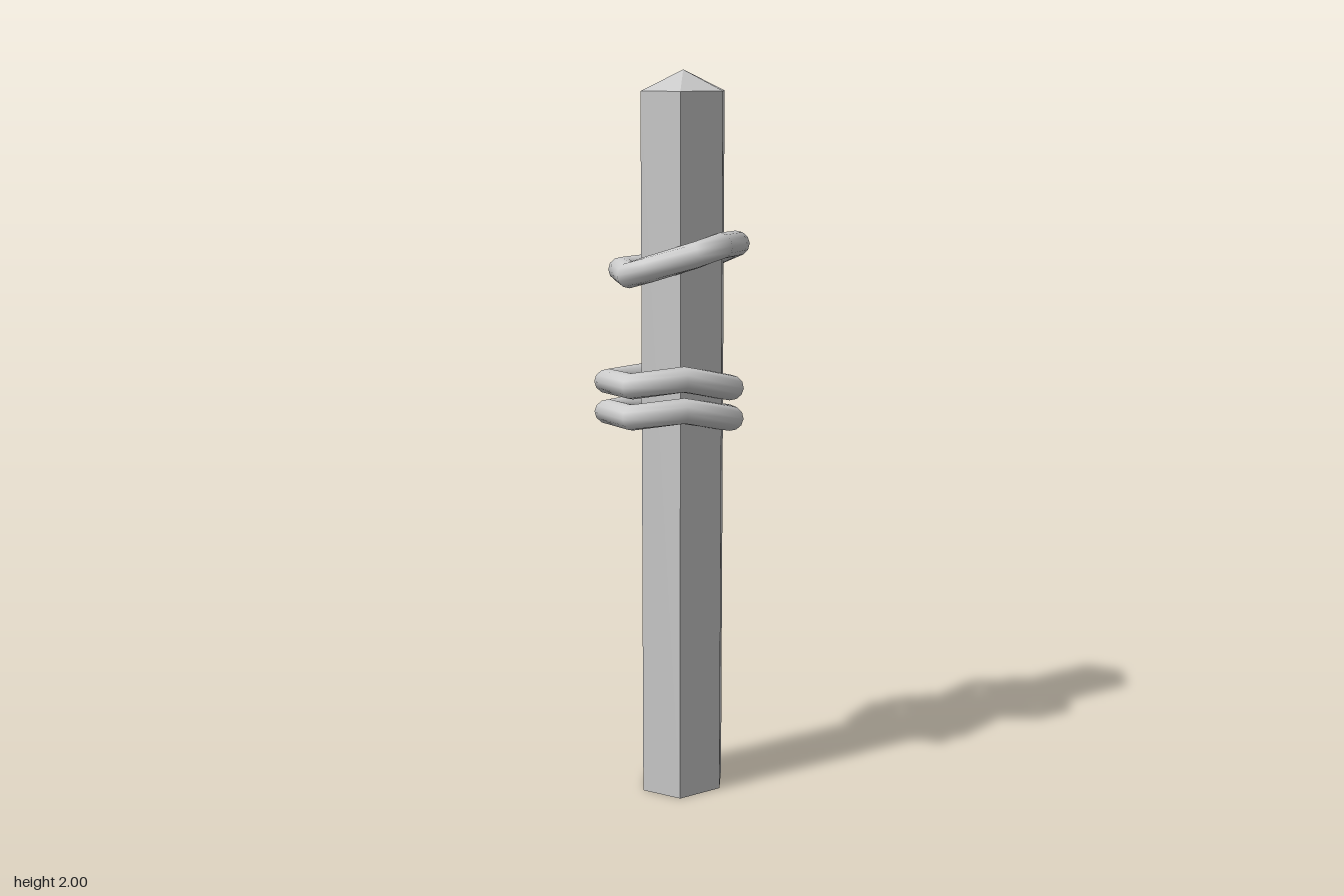
import * as THREE from 'three';

const TUBE = 0.035;
const SIDES = 12;

// Closed tube with mitred corners; points lie on the outer rim, listed front-left to front-right and round the back
function ringGeometry(points) {
  const pts = points.map(p => new THREE.Vector3(...p));
  const n = pts.length;
  const up = new THREE.Vector3(0, 1, 0);
  const position = [], index = [];
  pts.forEach((p, i) => {
    const before = p.clone().sub(pts[(i + n - 1) % n]).normalize();
    const after = pts[(i + 1) % n].clone().sub(p).normalize();
    const along = before.clone().add(after).normalize();
    const out = along.clone().cross(up).normalize();
    const rise = out.clone().cross(along).normalize();
    const mitre = TUBE / along.dot(after);
    const centre = p.clone().addScaledVector(out, -mitre);
    if (rise.y < 0) rise.negate();
    for (let j = 0; j < SIDES; j++) {
      const a = (j / SIDES) * Math.PI * 2;
      const v = centre.clone()
        .addScaledVector(out, Math.cos(a) * mitre)
        .addScaledVector(rise, Math.sin(a) * TUBE);
      position.push(v.x, v.y, v.z);
      const k = (j + 1) % SIDES, next = (i + 1) % n;
      const a0 = i * SIDES + j, a1 = i * SIDES + k;
      const b0 = next * SIDES + j, b1 = next * SIDES + k;
      index.push(a0, b0, a1, b0, b1, a1);
    }
  });
  const g = new THREE.BufferGeometry();
  g.setAttribute('position', new THREE.Float32BufferAttribute(position, 3));
  g.setIndex(index);
  g.computeVertexNormals();
  return g;
}

export function createModel() {
  const group = new THREE.Group();
  const flat = new THREE.MeshStandardMaterial({ color: 0xcccccc, flatShading: true });
  const smooth = new THREE.MeshStandardMaterial({ color: 0xcccccc });

  const add = (name, geometry, material, y = 0) => {
    const mesh = new THREE.Mesh(geometry, material);
    mesh.name = name;
    mesh.position.y = y;
    group.add(mesh);
    return mesh;
  };

  // Six-sided post with a shallow pointed top
  const profile = [[0, 0], [1, 0], [1, 1.945], [0, 2]].map(p => new THREE.Vector2(...p));
  const post = add('post', new THREE.LatheGeometry(profile, 6, Math.PI / 2), flat);
  post.scale.set(0.12, 1, 0.139);
  post.position.set(0.02, 0, 0.003);

  // Single tilted loop near the top
  add('upperRing', ringGeometry([
    [-0.18, 1.465, 0.065], [-0.1, 1.46, 0.15], [0.005, 1.485, 0.19], [0.15, 1.525, 0.15],
    [0.2, 1.545, 0.057], [0.15, 1.535, -0.137], [0, 1.49, -0.217], [-0.148, 1.465, -0.11],
  ]), smooth);

  // Pair of matching loops at mid height
  const loop = ringGeometry([
    [-0.2, 0.075, 0.11], [-0.045, 0.085, 0.215], [0.13, 0.11, 0.17], [0.183, 0.065, -0.045],
    [0.1, 0.05, -0.16], [-0.08, 0.05, -0.17], [-0.185, 0.07, -0.065],
  ]);
  add('middleRing', loop, smooth, 1.085);
  add('lowerRing', loop, smooth, 1.0);

  return group;
}
